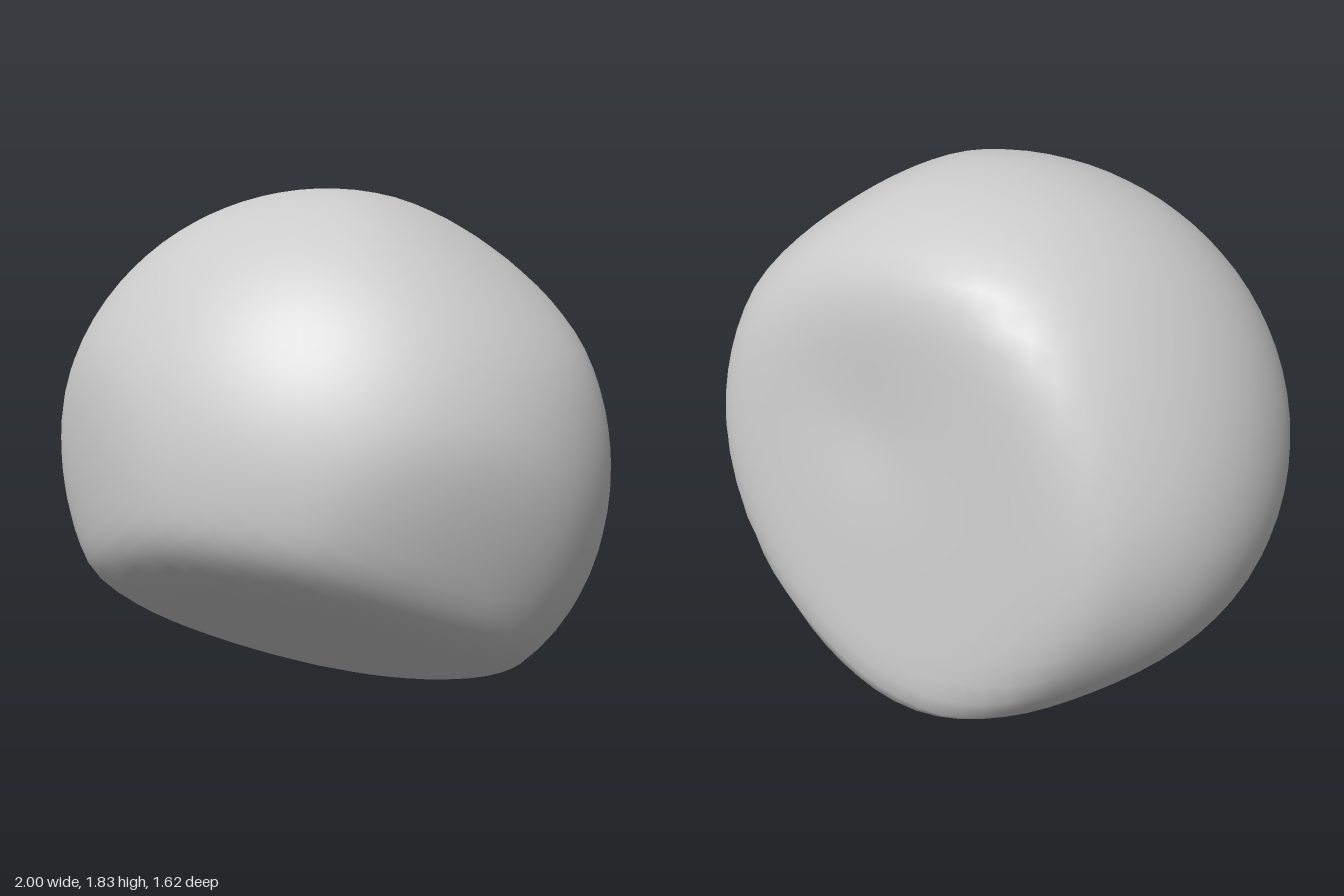
import * as THREE from 'three';
import { mergeVertices } from 'three/addons/utils/BufferGeometryUtils.js';

const vec = (x, y, z) => new THREE.Vector3(x, y, z);
const core = vec(0.015, 0.92, -0.05);
const radii = vec(0.985, 0.91, 0.86);

// Flat faces worn into the boulder: direction, distance from the core, edge softness
const cuts = [
  [vec(0.07, -0.824, 0.567), 0.65, 0.16],  // sloping underside
  [vec(0.72, -0.25, 0.65), 0.905, 0.12],   // front left facet
  [vec(-0.5, 0, 0.86), 0.885, 0.12],       // front right facet
  [vec(0.13, 0.1, -0.985), 0.66, 0.1],     // broad back face
  [vec(0.6, 0.8, 0), 0.94, 0.16],          // upper left shoulder
].map(([n, ...rest]) => [n.normalize(), ...rest]);

// Soft swellings: direction, height, tightness
const bumps = [
  [vec(-0.06, -0.68, -0.73), 0.155, 6],    // heel at the bottom back
  [vec(-0.82, -0.1, -0.57), 0.095, 8],     // right back corner
  [vec(-0.35, 0.68, -0.65), 0.07, 8],      // top back edge
  [vec(0.7, -0.65, -0.3), 0.05, 8],        // lower left side
].map(([n, ...rest]) => [n.normalize(), ...rest]);

// Soft hollow in the back face
const dents = [
  [vec(0.25, 0.35, -0.9), 0.03, 14],
].map(([n, ...rest]) => [n.normalize(), ...rest]);

const softMin = (a, b, k) => {
  const h = Math.max(k - Math.abs(a - b), 0) / k;
  return Math.min(a, b) - h * h * k / 4;
};
const swell = (d, list) =>
  list.reduce((sum, [n, h, p]) => sum + h * Math.pow(Math.max(0, d.dot(n)), p), 0);

// Distance from the core to the surface along direction d
function surfaceRadius(d) {
  let r = 1 / d.clone().divide(radii).length() + swell(d, bumps);
  for (const [n, distance, softness] of cuts) {
    const facing = d.dot(n);
    if (facing > 0.1) r = softMin(r, distance / facing, softness);
  }
  return r - swell(d, dents);
}

export function createModel() {
  const group = new THREE.Group();
  group.name = 'boulder';

  // Sphere shaped by the radius rule, shared vertices for smooth shading
  let geometry = new THREE.IcosahedronGeometry(1, 14);
  geometry.deleteAttribute('normal');
  geometry.deleteAttribute('uv');
  geometry = mergeVertices(geometry, 1e-4);
  const position = geometry.attributes.position;
  const d = vec(0, 0, 0);
  for (let i = 0; i < position.count; i++) {
    d.fromBufferAttribute(position, i).normalize();
    d.multiplyScalar(surfaceRadius(d)).add(core);
    position.setXYZ(i, d.x, d.y, d.z);
  }
  geometry.computeVertexNormals();

  const stone = new THREE.Mesh(
    geometry,
    new THREE.MeshStandardMaterial({ color: 0xcccccc })
  );
  stone.name = 'stone';
  group.add(stone);
  return group;
}
